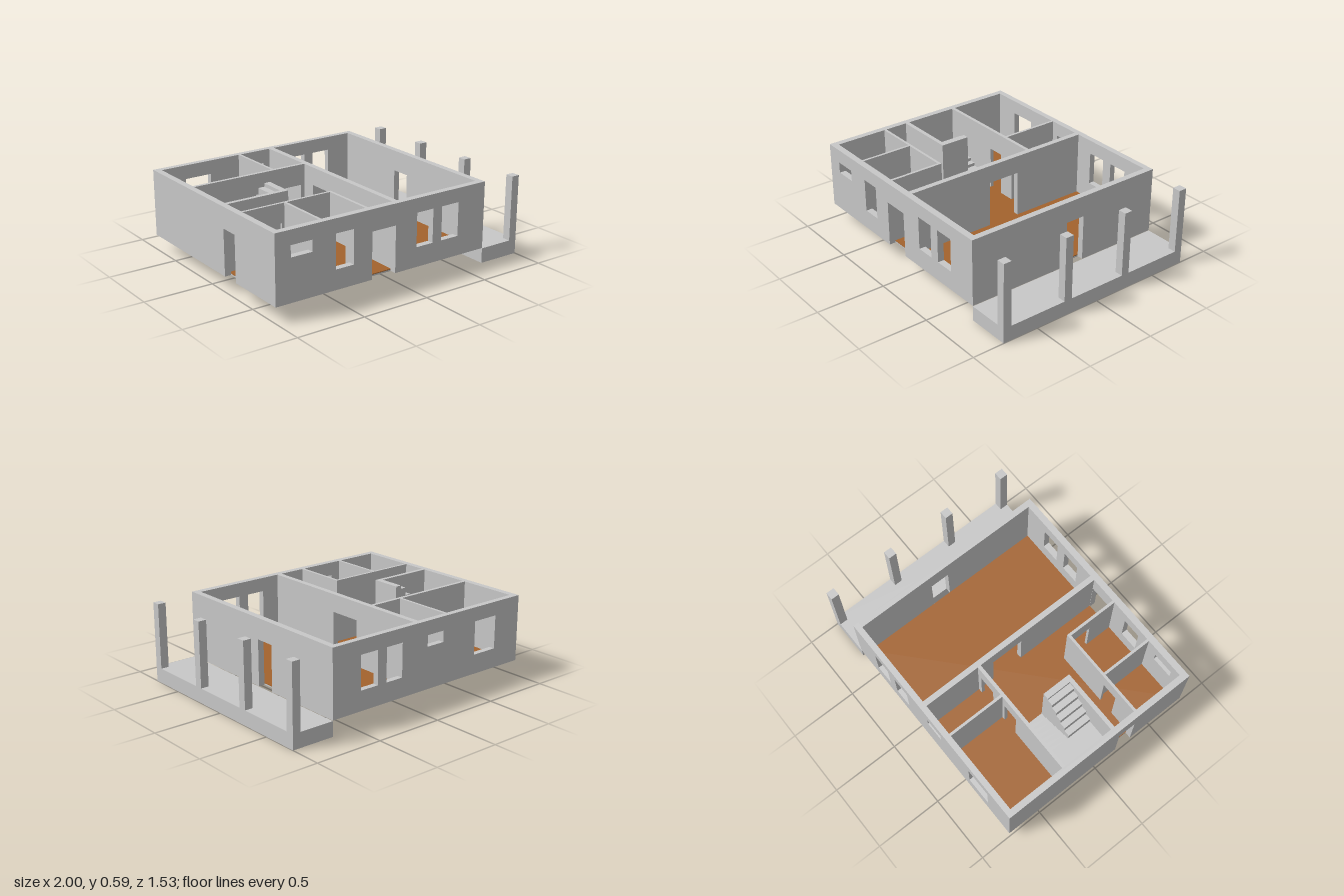
import * as THREE from 'three';

const grey = new THREE.MeshStandardMaterial({ color: 0xc8c8c8 });
grey.name = 'plaster grey';
const brown = new THREE.MeshStandardMaterial({ color: 0xa3632d });
brown.name = 'floor brown';

const BASE = 0.11, FLOOR = 0.125, TOP = 0.59, HEAD = 0.44;

export function createModel() {
  const model = new THREE.Group();
  model.name = 'house';

  function add(name, geometry, material = grey) {
    const mesh = new THREE.Mesh(geometry, material);
    mesh.name = name;
    model.add(mesh);
  }

  function box(name, x0, x1, y0, y1, z0, z1, material) {
    const g = new THREE.BoxGeometry(x1 - x0, y1 - y0, z1 - z0);
    g.translate((x0 + x1) / 2, (y0 + y1) / 2, (z0 + z1) / 2);
    add(name, g, material);
  }

  // Wall along x or z from u0 to u1, between p0 and p1 across.
  // doors: [from, to, top], ascending; windows: [from, to, bottom, top]
  function wall(name, axis, u0, u1, p0, p1, doors = [], windows = [], bottom = FLOOR) {
    const s = new THREE.Shape();
    s.moveTo(u0, bottom);
    for (const [a, b, top = HEAD] of doors) {
      s.lineTo(a, bottom);
      s.lineTo(a, top);
      s.lineTo(b, top);
      s.lineTo(b, bottom);
    }
    s.lineTo(u1, bottom);
    s.lineTo(u1, TOP);
    s.lineTo(u0, TOP);
    s.closePath();
    for (const [a, b, y0, y1] of windows) {
      const h = new THREE.Path();
      h.moveTo(a, y0);
      h.lineTo(a, y1);
      h.lineTo(b, y1);
      h.lineTo(b, y0);
      h.closePath();
      s.holes.push(h);
    }
    const g = new THREE.ExtrudeGeometry(s, { depth: p1 - p0, bevelEnabled: false });
    if (axis === 'x') g.translate(0, 0, p0);
    else g.rotateY(-Math.PI / 2).translate(p1, 0, 0);
    add(name, g);
  }

  // Floor slab with a thin brown covering
  box('floorSlab', -0.955, 0.64, BASE, 0.12, -0.725, 0.72);
  box('floorCovering', -0.955, 0.64, 0.12, FLOOR, -0.725, 0.72, brown);

  // Outer walls
  const tallWindows = [[0.1, 0.237, 0.25, 0.49], [0.312, 0.455, 0.25, 0.49]];
  wall('frontWall', 'x', -1, 0.685, 0.72, 0.767, [[-0.265, -0.075]],
    [[-0.885, -0.725, 0.41, 0.49], [-0.55, -0.41, 0.25, 0.49], ...tallWindows], BASE);
  wall('backWall', 'x', -1, 0.685, -0.767, -0.725, [],
    [[-0.77, -0.57, 0.25, 0.49], [-0.27, -0.125, 0.41, 0.49], ...tallWindows], BASE);
  wall('rightSideWall', 'z', -0.725, 0.72, -1, -0.955, [[0.17, 0.305]], [], BASE);
  wall('leftSideWall', 'z', -0.725, 0.72, 0.64, 0.685, [[-0.147, -0.003]], [], BASE);

  // Inner walls
  wall('centreWall', 'z', -0.725, 0.72, -0.073, -0.033, [[-0.165, 0.08, 0.46]]);
  wall('backRoomsWall', 'x', -0.955, -0.073, -0.295, -0.27, [[-0.48, -0.36], [-0.235, -0.105]]);
  wall('backRoomDivider', 'z', -0.725, -0.295, -0.335, -0.316);
  wall('frontRoomsWall', 'x', -0.955, -0.267, 0.318, 0.337, [[-0.785, -0.665, 0.455]]);
  wall('frontRoomDivider', 'z', 0.337, 0.72, -0.645, -0.626);
  wall('entryWall', 'z', 0.337, 0.72, -0.287, -0.267, [[0.38, 0.51]]);
  wall('stairSideWall', 'x', -0.955, -0.49, 0.12, 0.15);
  wall('stairEndWall', 'z', -0.07, 0.12, -0.535, -0.49);

  // Stairs: lower flight, landing, upper flight
  const edges = [-0.49, -0.54, -0.587, -0.634, -0.68, -0.727, -0.77];
  for (let i = 0; i < 6; i++) {
    box('lowerStep', edges[i + 1], edges[i], FLOOR, 0.15 + i * 0.0235, -0.27, -0.07);
  }
  box('landing', -0.955, -0.77, FLOOR, 0.29, -0.27, 0.12);
  for (let i = 0; i < 5; i++) {
    box('upperStep', -0.77 + i * 0.047, -0.77 + (i + 1) * 0.047, FLOOR, 0.345 + i * 0.055, -0.07, 0.12);
  }

  // Terrace with four posts
  box('terrace', 0.685, 1, 0, 0.107, -0.767, 0.767);
  for (const z of [-0.737, -0.247, 0.247, 0.737]) {
    box('terracePost', 0.94, 1, 0.107, 0.575, z - 0.03, z + 0.03);
  }

  return model;
}
